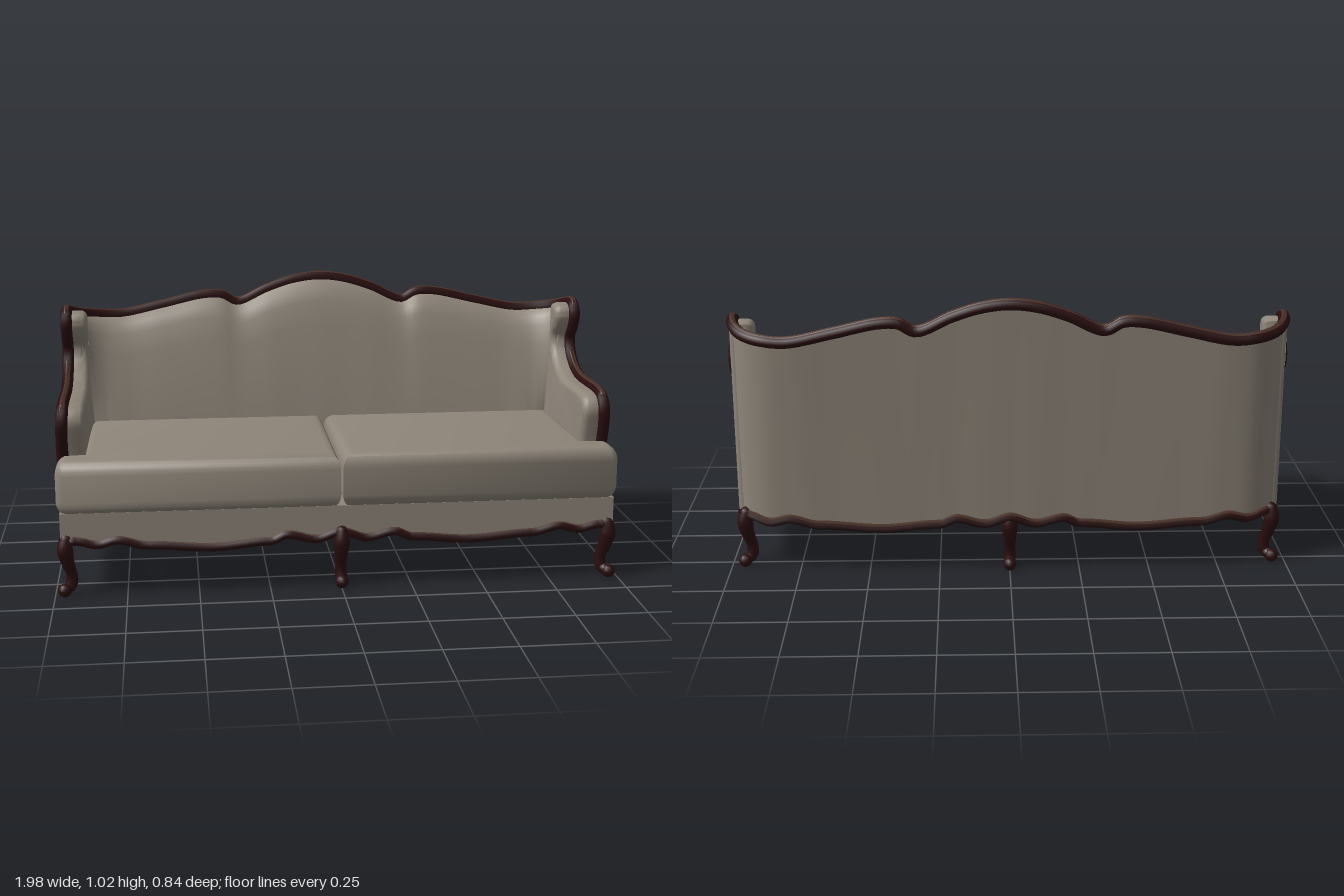
import * as THREE from 'three';
import { toCreasedNormals } from 'three/addons/utils/BufferGeometryUtils.js';

const V = (p) => new THREE.Vector3(...p);
const mirror = (p) => [-p[0], p[1], p[2]];

// Rail outline on the left side: arm front, arm top and wing
const ARM = [
  [0.965, 0.19, 0.24], [0.965, 0.33, 0.235], [0.965, 0.45, 0.235], [0.965, 0.53, 0.255],
  [0.962, 0.59, 0.267], [0.96, 0.63, 0.245], [0.96, 0.641, 0.2], [0.96, 0.64, 0],
  [0.96, 0.645, -0.07], [0.96, 0.67, -0.15], [0.96, 0.72, -0.215], [0.96, 0.77, -0.228],
  [0.96, 0.81, -0.195], [0.96, 0.86, -0.172], [0.96, 0.895, -0.19], [0.96, 0.903, -0.235],
];
// Rail outline from the rear corner to the middle of the crest
const CREST = [
  [0.945, 0.89, -0.29], [0.91, 0.876, -0.335], [0.85, 0.866, -0.37], [0.76, 0.862, -0.385],
  [0.6, 0.895, -0.388], [0.45, 0.928, -0.39], [0.38, 0.928, -0.39], [0.32, 0.9, -0.39],
  [0.2, 0.95, -0.393], [0.1, 0.982, -0.396],
];
// Turning points of the wavy lower edge
const FRONT_WAVE = [[0, 0.205], [0.09, 0.18], [0.19, 0.2], [0.25, 0.178], [0.45, 0.163],
  [0.68, 0.178], [0.78, 0.2], [0.85, 0.185], [0.92, 0.2], [1, 0.2]];
const SIDE_WAVE = [[-0.4, 0.19], [-0.24, 0.195], [-0.2, 0.18], [-0.14, 0.202], [0.02, 0.168],
  [0.17, 0.202], [0.22, 0.18], [0.28, 0.195], [0.35, 0.175], [0.4, 0.19]];

function wave(keys, t) {
  const i = Math.max(1, keys.findIndex((k) => k[0] >= t));
  const [a, b] = [keys[i - 1], keys[i]];
  return a[1] + (b[1] - a[1]) * THREE.MathUtils.smoothstep(t, a[0], b[0]);
}

// Surface through a grid of points, rows by columns
function grid(rows) {
  const n = rows[0].length, index = [];
  for (let r = 0; r < rows.length - 1; r++) {
    for (let c = 0; c < n - 1; c++) {
      const a = r * n + c;
      index.push(a, a + n, a + 1, a + 1, a + n, a + n + 1);
    }
  }
  const g = new THREE.BufferGeometry().setFromPoints(rows.flat());
  g.setIndex(index);
  g.computeVertexNormals();
  return g;
}

// Tube whose radius follows a list of values along its path
function taperedTube(points, radii, segments, sides) {
  const curve = new THREE.CatmullRomCurve3(points.map(V));
  const g = new THREE.TubeGeometry(curve, segments, 1, sides);
  const p = g.attributes.position, v = new THREE.Vector3();
  for (let i = 0; i < p.count; i++) {
    const t = Math.floor(i / (sides + 1)) / segments;
    const f = t * (radii.length - 1), k = Math.min(Math.floor(f), radii.length - 2);
    const r = THREE.MathUtils.lerp(radii[k], radii[k + 1], f - k);
    const c = curve.getPointAt(t);
    v.fromBufferAttribute(p, i).sub(c).multiplyScalar(r).add(c);
    p.setXYZ(i, v.x, v.y, v.z);
  }
  g.computeVertexNormals();
  return g;
}

export function createModel() {
  const sofa = new THREE.Group();
  sofa.name = 'sofa';
  const fabric = new THREE.MeshStandardMaterial({ color: 0x8f867a, side: THREE.DoubleSide });
  fabric.name = 'taupe fabric';
  const wood = new THREE.MeshStandardMaterial({ color: 0x2a0d0e });
  wood.name = 'dark mahogany';
  const brown = new THREE.MeshStandardMaterial({ color: 0x4a3128 });
  brown.name = 'brown wood';
  const add = (name, geometry, material, parent = sofa) => {
    const m = new THREE.Mesh(geometry, material);
    m.name = name;
    parent.add(m);
    return m;
  };

  // Back wall: leaning outer skin and padded inner face, wrapped round the corners
  const half = [ARM[ARM.length - 1], ...CREST];
  const backPoints = [...half, [0, 0.994, -0.397], ...half.map(mirror).reverse()];
  const backCurve = new THREE.CatmullRomCurve3(backPoints.map(V));
  const N = 120;
  const stations = Array.from({ length: N + 1 }, (_, i) => {
    const top = backCurve.getPointAt(i / N), t = backCurve.getTangentAt(i / N);
    const k = THREE.MathUtils.clamp((-0.235 - top.z) / 0.15, 0, 1);
    const bottom = new THREE.Vector3(top.x, wave(FRONT_WAVE, Math.abs(top.x)), top.z + 0.05 * k);
    const inward = new THREE.Vector3(t.z, 0, -t.x).normalize();
    return { top, bottom, inward, k };
  });
  const outerRows = [0, 0.5, 1].map((f) => stations.map((s) => s.top.clone().lerp(s.bottom, f)));
  add('backOuter', grid(outerRows), fabric);
  const padding = [[0, 0], [0.02, 0.025], [0.06, 0.045], [0.12, 0.062], [0.25, 0.08],
    [0.5, 0.1], [0.75, 0.118], [1, 0.125]];
  const innerRows = padding.map(([drop, inset]) => stations.map((s) => {
    const f = drop * (s.top.y - 0.29) / (s.top.y - s.bottom.y);
    return s.top.clone().lerp(s.bottom, f).addScaledVector(s.inward, inset * (0.62 + 0.38 * s.k));
  }));
  add('backPadding', grid(innerRows), fabric);

  // Arms with wings: one padded slab, used on both sides
  const armCurve = new THREE.CatmullRomCurve3(ARM.map(V));
  const outline = armCurve.getPoints(60).map((p) => new THREE.Vector2(p.z, p.y));
  outline.push(new THREE.Vector2(-0.265, 0.895));
  for (let z = -0.265; z < 0.22; z += 0.02) outline.push(new THREE.Vector2(z, wave(SIDE_WAVE, z)));
  const armGeo = toCreasedNormals(new THREE.ExtrudeGeometry(new THREE.Shape(outline), {
    depth: 0.037, bevelThickness: 0.024, bevelSize: 0.022, bevelOffset: -0.022, bevelSegments: 4,
  }), 0.7);
  armGeo.rotateY(-Math.PI / 2).translate(0.0185, 0, 0);
  for (const s of [1, -1]) {
    add(s > 0 ? 'leftArm' : 'rightArm', armGeo, fabric).position.x = s * 0.928;
  }

  // Seat base with wavy lower edge
  const base = new THREE.Shape();
  base.moveTo(-0.975, 0.3);
  for (let i = 0; i <= 96; i++) {
    const x = -0.975 + 1.95 * i / 96;
    base.lineTo(x, wave(FRONT_WAVE, Math.abs(x)));
  }
  base.lineTo(0.975, 0.3);
  const baseGeo = new THREE.ExtrudeGeometry(base, { depth: 0.14, bevelEnabled: false });
  add('seatBase', baseGeo.translate(0, 0, 0.245), fabric);

  // Two T-shaped cushions that spread in front of the arms
  const B = 0.05;
  for (const s of [1, -1]) {
    const corners = [[0.004, 0.24], [0.885, 0.24], [0.895, -0.26], [0.975, -0.27],
      [0.985, -0.3], [0.985, -0.375], [0.96, -0.4], [0.004, -0.4]];
    const shape = new THREE.Shape(corners.map(([x, y]) => new THREE.Vector2(s * x, y)));
    const g = new THREE.ExtrudeGeometry(shape, {
      depth: 0.195 - 2 * B, bevelThickness: B, bevelSize: B * 0.8, bevelOffset: -B * 0.8, bevelSegments: 5,
    });
    g.rotateX(-Math.PI / 2).translate(0, 0.29 + B, 0);
    add(s > 0 ? 'leftCushion' : 'rightCushion', toCreasedNormals(g, 0.9), fabric);
  }

  // Carved rail over arms, wings and crest, with a brown bead on top
  const railHalf = [...ARM, ...CREST];
  const rail = new THREE.CatmullRomCurve3(
    [...railHalf, [0, 0.994, -0.397], ...railHalf.map(mirror).reverse()].map(V));
  add('rail', new THREE.TubeGeometry(rail, 320, 0.021, 8), wood);
  add('railBead', new THREE.TubeGeometry(rail, 320, 0.014, 6), brown).position.y = 0.009;

  // Apron moulding round the lower edge
  const loop = [];
  for (let x = -0.94; x <= 0.941; x += 0.02) loop.push(new THREE.Vector3(x, wave(FRONT_WAVE, Math.abs(x)), 0.38));
  const sideRun = [];
  for (let z = 0.35; z >= -0.22; z -= 0.02) sideRun.push(new THREE.Vector3(0.965, wave(SIDE_WAVE, z), z));
  loop.push(...sideRun);
  loop.push(...stations.filter((_, i) => i > 0 && i < N).map((s) => s.bottom.clone()));
  loop.push(...sideRun.map((p) => V(mirror(p.toArray()))).reverse());
  const apron = new THREE.CatmullRomCurve3(loop, true);
  add('apronMoulding', new THREE.TubeGeometry(apron, 420, 0.016, 7, true), wood);
  add('apronBead', new THREE.TubeGeometry(apron, 420, 0.011, 6, true), brown).position.y = 0.008;

  // Curved legs with scroll feet; local +z points outward
  const legGeo = taperedTube(
    [[0, 0.205, 0.002], [0, 0.17, 0.008], [0, 0.12, -0.003], [0, 0.07, -0.02], [0, 0.035, -0.014], [0, 0.026, 0.01]],
    [0.024, 0.029, 0.024, 0.02, 0.021, 0.02], 20, 10);
  const knee = new THREE.SphereGeometry(0.024, 10, 8);
  const foot = new THREE.SphereGeometry(0.024, 10, 8);
  const q = Math.PI / 4;
  const legs = [
    ['frontLeftLeg', 0.955, 0.372, q], ['frontRightLeg', -0.955, 0.372, -q], ['frontCentreLeg', 0, 0.38, 0],
    ['backLeftLeg', 0.94, -0.278, 3 * q], ['backRightLeg', -0.94, -0.278, -3 * q],
    ['backCentreLeg', 0, -0.328, Math.PI],
  ];
  for (const [name, x, z, angle] of legs) {
    const leg = new THREE.Group();
    leg.name = name;
    leg.position.set(x, 0, z);
    leg.rotation.y = angle;
    add('legShaft', legGeo, wood, leg);
    add('legKnee', knee, wood, leg).position.set(0, 0.203, 0.002);
    add('scrollFoot', foot, wood, leg).position.set(0, 0.024, 0.016);
    sofa.add(leg);
  }
  return sofa;
}
